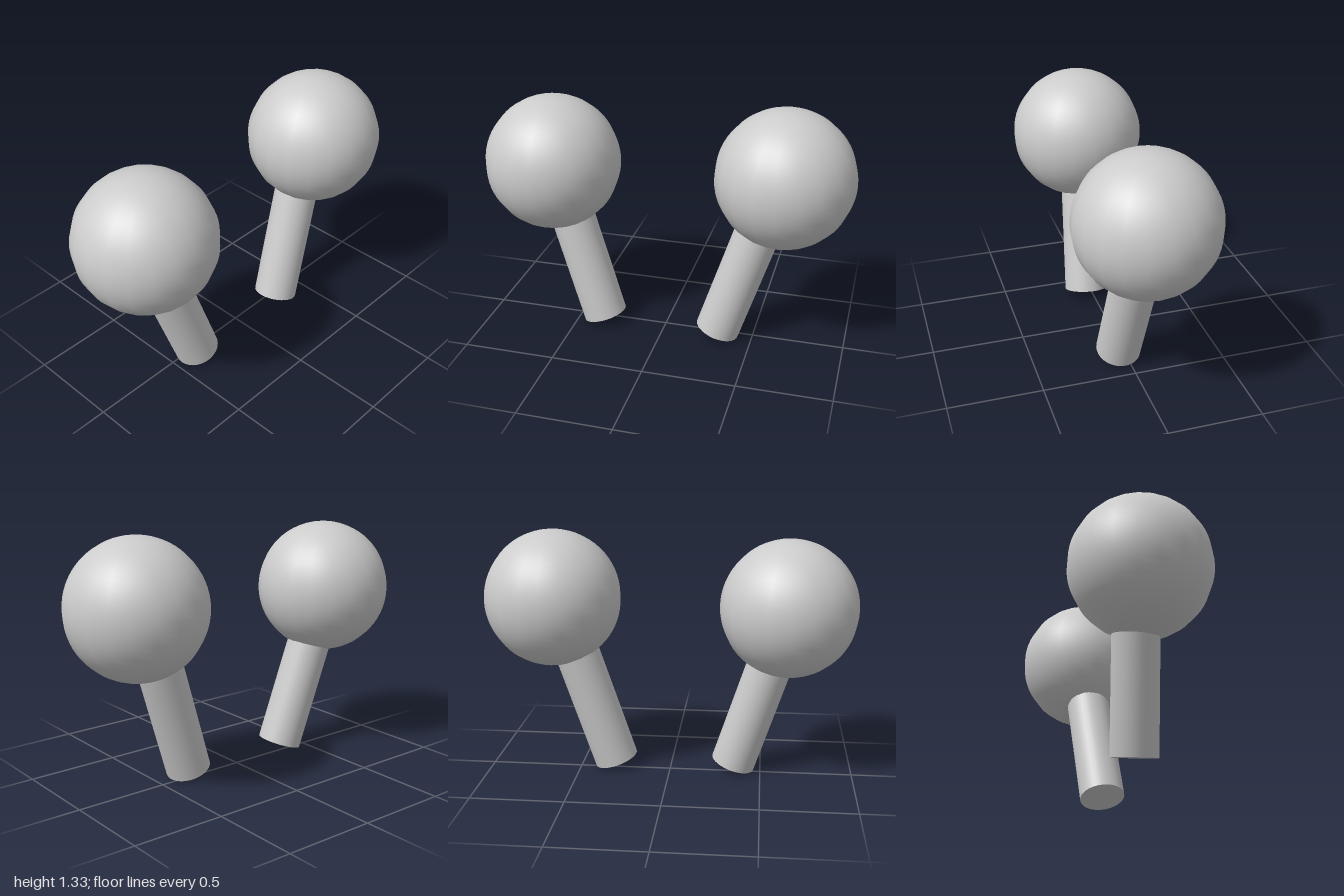
import * as THREE from 'three';

const material = new THREE.MeshStandardMaterial({ color: 0xcccccc });
const up = new THREE.Vector3(0, 1, 0);

// One mallet: a ball on a tilted round stick whose top end is buried in the ball
function createMallet(name, ballCentre, stickBottom, stickTop) {
  const mallet = new THREE.Group();
  mallet.name = name;

  const ball = new THREE.Mesh(new THREE.SphereGeometry(0.367, 20, 32), material);
  ball.name = 'ball';
  ball.position.copy(ballCentre);

  const axis = stickTop.clone().sub(stickBottom);
  const stick = new THREE.Mesh(new THREE.CylinderGeometry(0.121, 0.121, axis.length(), 32), material);
  stick.name = 'stick';
  stick.position.copy(stickBottom).addScaledVector(axis, 0.5);
  stick.quaternion.setFromUnitVectors(up, axis.normalize());

  mallet.add(ball, stick);
  return mallet;
}

export function createModel() {
  const v = (x, y, z) => new THREE.Vector3(x, y, z);
  const model = new THREE.Group();
  model.name = 'malletPair';
  model.add(
    createMallet('frontMallet', v(0, 0.933, 0.633), v(0.037, 0.04, 0.349), v(-0.007, 0.72, 0.57)),
    createMallet('backMallet', v(0, 0.967, -0.633), v(0.037, 0.04, -0.307), v(-0.007, 0.75, -0.537)),
  );
  return model;
}
